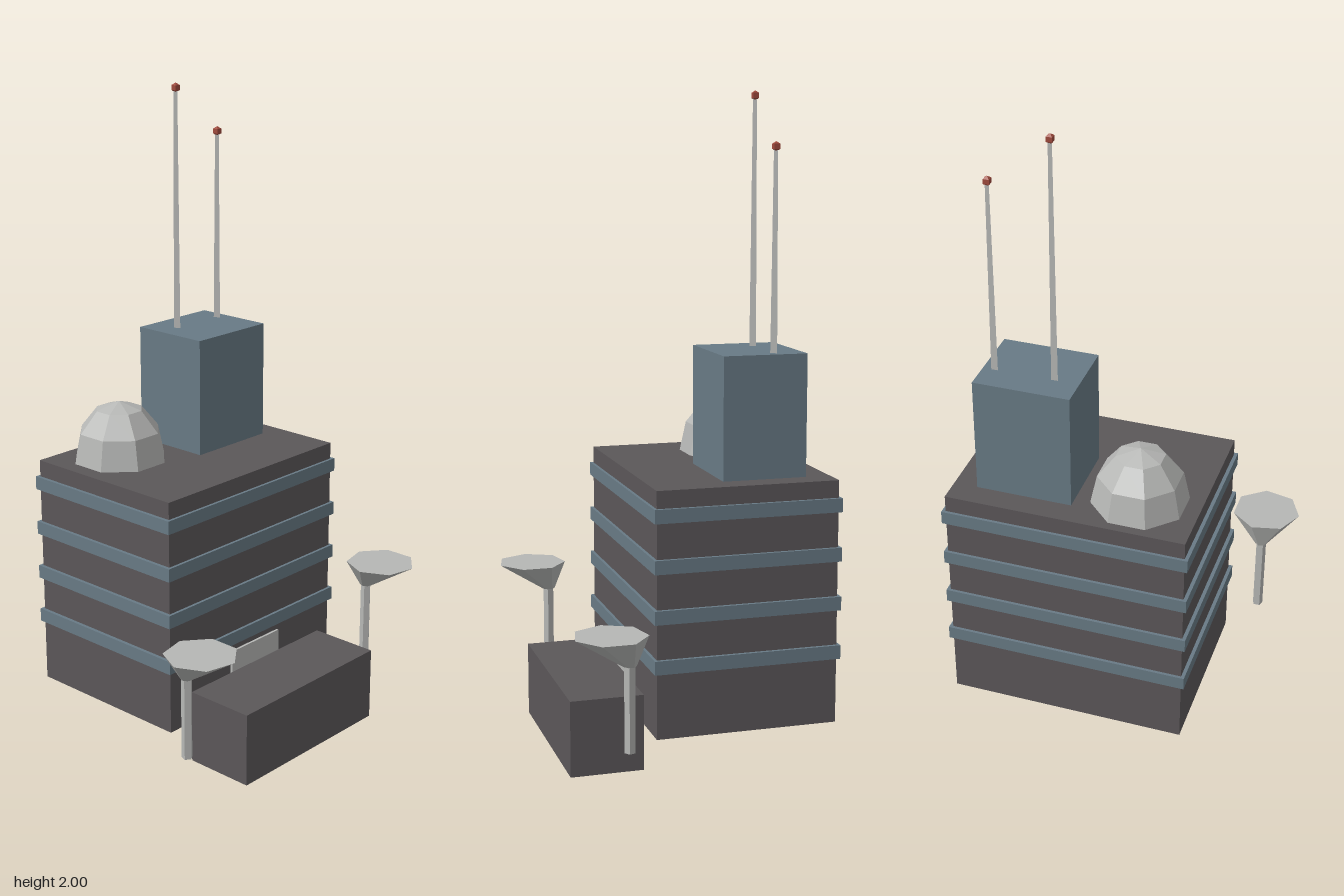
import * as THREE from 'three';

const material = (name, color) => {
  const m = new THREE.MeshStandardMaterial({ color });
  m.name = name;
  return m;
};

export function createModel() {
  const model = new THREE.Group();
  model.name = 'officeTower';
  const charcoal = material('charcoal wall', 0x5b5759);
  const slate = material('slate blue', 0x687a85);
  const pale = material('pale grey', 0xb6b7b5);
  const red = material('beacon red', 0xa04a3c);

  // Adds a faceted mesh
  function add(name, geometry, mat, x, y, z, parent = model) {
    const flat = geometry.index ? geometry.toNonIndexed() : geometry;
    flat.computeVertexNormals();
    const mesh = new THREE.Mesh(flat, mat);
    mesh.name = name;
    mesh.position.set(x, y, z);
    parent.add(mesh);
    return mesh;
  }

  // Adds a box from its lower and upper corners
  function box(name, mat, [x0, y0, z0], [x1, y1, z1]) {
    return add(name, new THREE.BoxGeometry(x1 - x0, y1 - y0, z1 - z0), mat,
      (x0 + x1) / 2, (y0 + y1) / 2, (z0 + z1) / 2);
  }

  // Main block with four window bands
  box('mainBlock', charcoal, [-0.37, 0.117, -0.429], [0.376, 0.862, 0.132]);
  for (let i = 0; i < 4; i++) {
    const y = 0.338 + i * 0.15;
    box('windowBand', slate, [-0.381, y - 0.021, -0.438], [0.387, y + 0.021, 0.141]);
  }

  // Entrance: front block and door panel
  box('entranceBlock', charcoal, [-0.297, 0, 0.151], [0.302, 0.233, 0.375]);
  box('doorPanel', pale, [-0.108, 0.15, 0.138], [0.112, 0.299, 0.146]);

  // Roof block
  box('roofBlock', slate, [0.003, 0.862, -0.353], [0.302, 1.233, -0.093]);

  // Roof dome
  const dome = new THREE.SphereGeometry(0.149, 8, 3, 0, Math.PI * 2, 0, Math.PI / 2);
  dome.rotateY(Math.PI / 8).scale(1, 1.25, 1);
  add('dome', dome, pale, -0.183, 0.862, -0.262);

  // Antennas with beacons
  for (const [x, top] of [[0.079, 1.985], [0.265, 1.835]]) {
    const antenna = new THREE.Group();
    antenna.name = 'antenna';
    model.add(antenna);
    const h = top - 1.233;
    add('mast', new THREE.CylinderGeometry(0.007, 0.012, h, 3), pale, x, 1.233 + h / 2, -0.261, antenna);
    add('beacon', new THREE.SphereGeometry(0.015, 4, 3).rotateY(Math.PI / 4), red, x, top, -0.261, antenna);
  }

  // Trees: trunk and a canopy that leans forward
  for (const [x, z] of [[-0.445, 0.272], [0.452, 0.234]]) {
    const tree = new THREE.Group();
    tree.name = 'tree';
    model.add(tree);
    add('trunk', new THREE.CylinderGeometry(0.017, 0.017, 0.265, 5), pale, x, 0.2495, z, tree);
    const h = 0.094;
    const canopy = new THREE.CylinderGeometry(0.111, 0.02, h, 7).rotateY(-Math.PI / 2);
    const p = canopy.attributes.position;
    for (let i = 0; i < p.count; i++) p.setZ(i, p.getZ(i) + 0.057 * (p.getY(i) / h + 0.5));
    add('canopy', canopy, pale, x, 0.375 + h / 2, z, tree);
  }

  return model;
}
